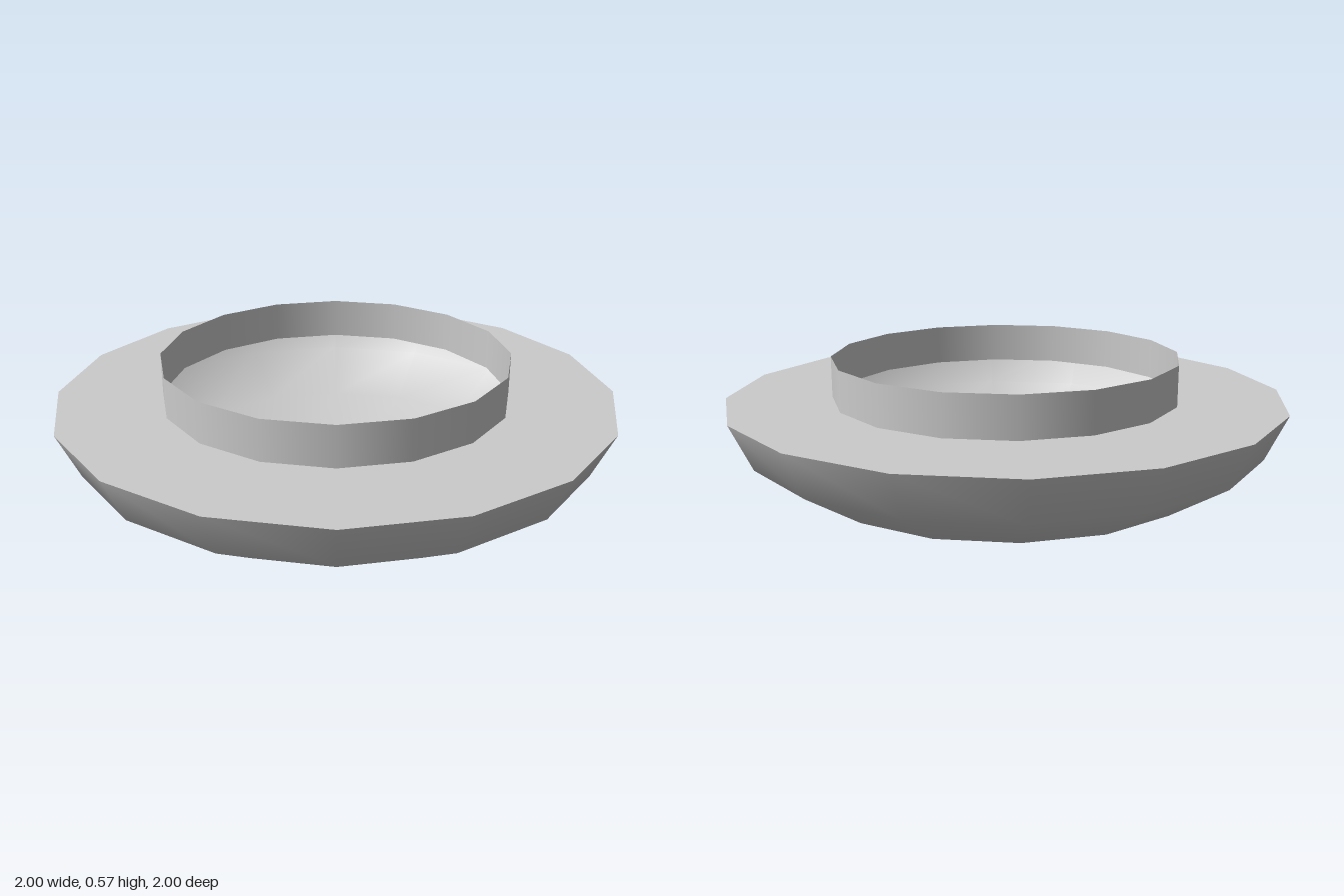
import * as THREE from 'three';

const SIDES = 16;
const RIM_Y = 0.424;
const TOP_Y = 0.57;
const COLLAR_R = 0.623;

export function createModel() {
  const group = new THREE.Group();
  const material = new THREE.MeshStandardMaterial({ color: 0xcccccc, side: THREE.DoubleSide });

  function add(name, geometry) {
    const mesh = new THREE.Mesh(geometry, material);
    mesh.name = name;
    group.add(mesh);
    return mesh;
  }

  // Shallow bowl: a flattened half sphere, open inside
  const profile = [];
  for (let i = 0; i <= 4; i++) {
    const a = (i / 4) * Math.PI / 2;
    profile.push(new THREE.Vector2(Math.sin(a), RIM_Y * (1 - Math.cos(a))));
  }
  add('bowl', new THREE.LatheGeometry(profile, SIDES));

  // Flat rim plate with a round opening
  const rim = new THREE.RingGeometry(COLLAR_R, 1, SIDES, 1);
  rim.rotateX(-Math.PI / 2);
  add('rim', rim).position.y = RIM_Y;

  // Thin upright collar around the opening
  const height = TOP_Y - RIM_Y;
  const collar = new THREE.CylinderGeometry(COLLAR_R, COLLAR_R, height, SIDES, 1, true);
  add('collar', collar).position.y = RIM_Y + height / 2;

  return group;
}
